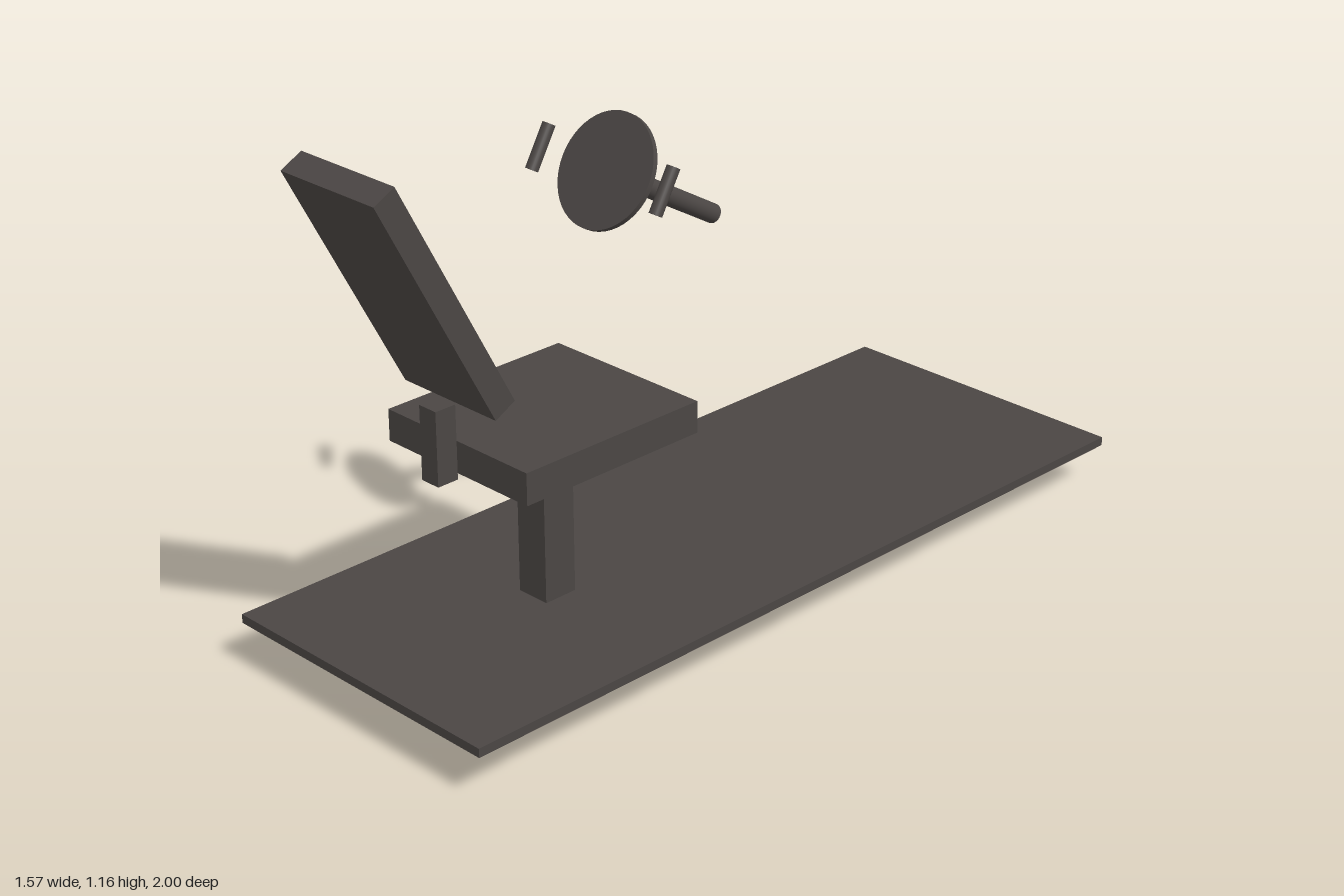
import * as THREE from 'three';

export function createModel() {
  const model = new THREE.Group();
  model.name = 'drivingSeat';

  const charcoal = new THREE.MeshStandardMaterial({ color: 0x4b4644 });
  charcoal.name = 'charcoal';

  // Everything is laid out straight (forward is -z), then turned as one
  const rig = new THREE.Group();
  rig.name = 'rig';
  rig.rotation.y = -Math.PI / 6;
  model.add(rig);

  const add = (parent, name, geometry, x, y, z) => {
    const mesh = new THREE.Mesh(geometry, charcoal);
    mesh.name = name;
    mesh.position.set(x, y, z);
    parent.add(mesh);
    return mesh;
  };
  const box = (w, h, d) => new THREE.BoxGeometry(w, h, d);
  const rod = (r, h, sides = 32) => new THREE.CylinderGeometry(r, r, h, sides);

  // Floor plate and seat
  add(rig, 'floorPlate', box(0.726, 0.02, 1.887), 0, 0.105, 0);
  add(rig, 'seatPost', box(0.08, 0.465, 0.08), 0, 0.2325, 0.439);
  add(rig, 'seatCushion', box(0.41, 0.07, 0.46), 0, 0.499, 0.439);

  // Backrest, leaning backwards on its short stem
  add(rig, 'backrestStem', box(0.048, 0.161, 0.05), 0, 0.5445, 0.712);
  const backrest = add(rig, 'backrest', box(0.267, 0.575, 0.056), 0, 0.891, 0.79);
  backrest.rotation.x = THREE.MathUtils.degToRad(28);

  // Steering assembly: its local y axis is the column, pointing at the driver
  const steering = new THREE.Group();
  steering.name = 'steering';
  steering.position.set(0, 0.984, 0.256);
  steering.rotation.x = Math.PI / 3;
  rig.add(steering);

  add(steering, 'steeringDisc', rod(0.123, 0.012, 48), 0, 0, 0);
  add(steering, 'steeringColumn', rod(0.021, 0.345), 0, -0.1725, 0);

  // Hand grips on both sides, lying parallel to the disc
  for (const side of [-1, 1]) {
    const name = side > 0 ? 'leftGrip' : 'rightGrip';
    const grip = add(steering, name, rod(0.014, 0.1, 24), side * 0.178, 0.018, 0);
    grip.rotation.x = Math.PI / 2;
  }

  return model;
}
